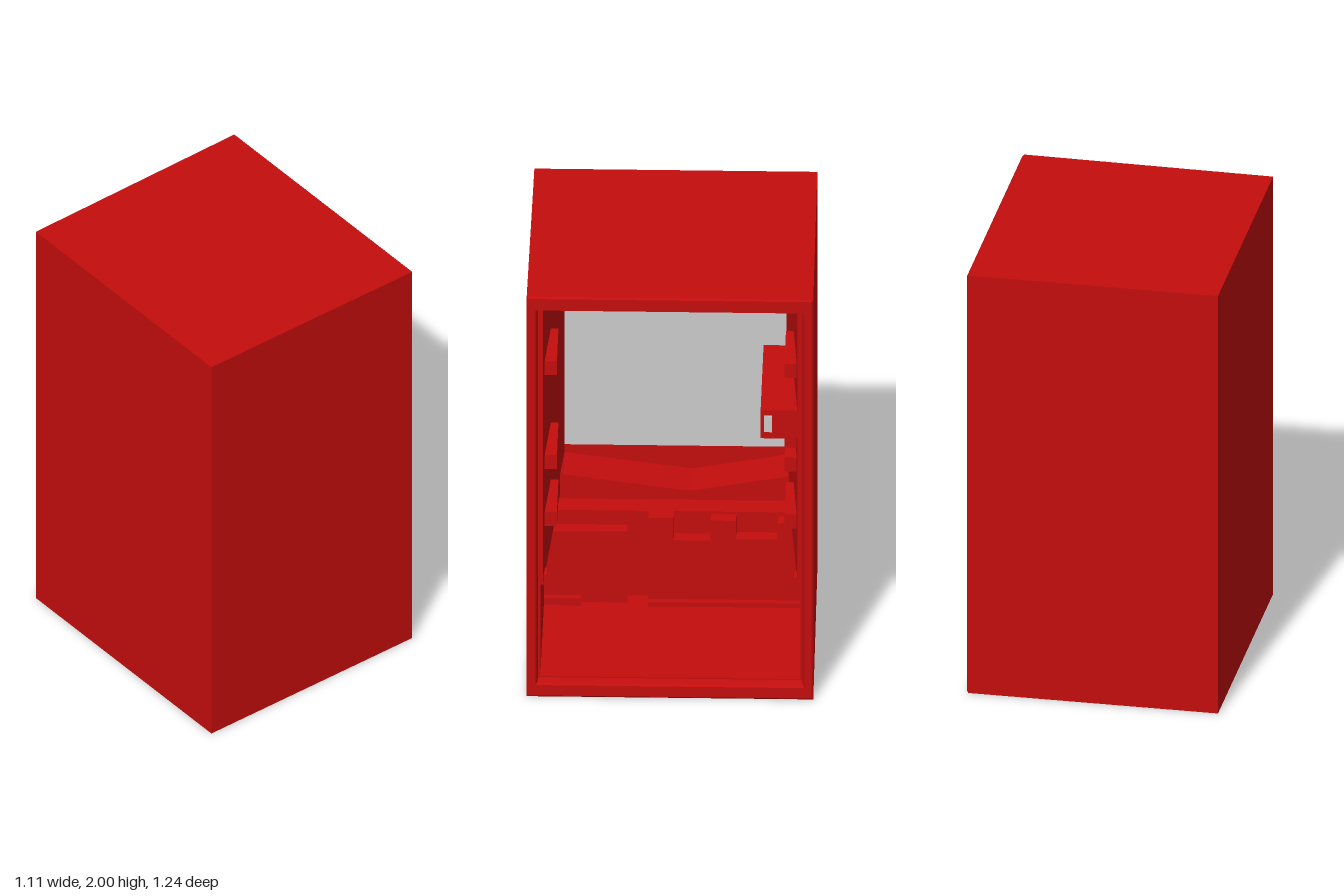
import * as THREE from 'three';

const red = new THREE.MeshStandardMaterial({ color: 0xc40d0d });
const grey = new THREE.MeshStandardMaterial({ color: 0xcccccc });

// Box given by its extents on each axis
function box(name, [x0, x1], [y0, y1], [z0, z1], material = red) {
  const mesh = new THREE.Mesh(new THREE.BoxGeometry(x1 - x0, y1 - y0, z1 - z0), material);
  mesh.position.set((x0 + x1) / 2, (y0 + y1) / 2, (z0 + z1) / 2);
  mesh.name = name;
  return mesh;
}

// Outline in (z, y) extruded along x from x0 to x1
function slab(name, points, x0, x1, material = red) {
  const shape = new THREE.Shape(points.map(([z, y]) => new THREE.Vector2(-z, y)));
  const geometry = new THREE.ExtrudeGeometry(shape, { depth: x1 - x0, bevelEnabled: false });
  geometry.rotateY(Math.PI / 2).translate(x0, 0, 0);
  const mesh = new THREE.Mesh(geometry, material);
  mesh.name = name;
  return mesh;
}

// Hollow cabinet: rectangles [x, half width, bottom, top] joined from the outer wall round into the cavity
function cabinetShell() {
  const rings = [
    [-0.555, 0.612, 0, 2], [0.545, 0.62, 0, 2], [0.552, 0.612, 0.008, 1.992],
    [0.552, 0.582, 0.06, 1.935], [0.54, 0.575, 0.065, 1.93], [0.5, 0.572, 0.07, 1.92],
    [0.5, 0.562, 0.075, 1.91], [-0.5, 0.56, 0.075, 1.905],
  ].map(([x, w, y0, y1]) => [[x, y0, w], [x, y0, -w], [x, y1, -w], [x, y1, w]]);
  const positions = [];
  const quad = (a, b, c, d) => positions.push(...a, ...b, ...c, ...a, ...c, ...d);
  for (let i = 0; i < rings.length - 1; i++) {
    for (let k = 0; k < 4; k++) {
      const n = (k + 1) % 4;
      quad(rings[i][k], rings[i][n], rings[i + 1][n], rings[i + 1][k]);
    }
  }
  quad(...[...rings[0]].reverse());
  quad(...rings[rings.length - 1]);
  const geometry = new THREE.BufferGeometry();
  geometry.setAttribute('position', new THREE.Float32BufferAttribute(positions, 3));
  geometry.computeVertexNormals();
  const mesh = new THREE.Mesh(geometry, red);
  mesh.name = 'cabinetShell';
  return mesh;
}

// Tapering liner that narrows the upper compartment towards its back
function sideLiner(side) {
  const shape = new THREE.Shape([
    new THREE.Vector2(0.48, -side * 0.562),
    new THREE.Vector2(-0.5, -side * 0.562),
    new THREE.Vector2(-0.5, -side * 0.48),
    new THREE.Vector2(0.48, -side * 0.55),
  ]);
  const geometry = new THREE.ExtrudeGeometry(shape, { depth: 1.38, bevelEnabled: false });
  geometry.rotateX(-Math.PI / 2).translate(0, 0.53, 0);
  const mesh = new THREE.Mesh(geometry, red);
  mesh.name = 'sideLiner';
  return mesh;
}

export function createModel() {
  const model = new THREE.Group();
  model.name = 'openCabinet';
  model.add(cabinetShell());

  // Pale back wall of the upper compartment
  model.add(box('backPanel', [-0.5, -0.49], [0.66, 1.905], [-0.482, 0.482], grey));

  // Liners, shelf rails and small catches on both sides
  for (const side of [1, -1]) {
    const zRange = (a, b) => (side > 0 ? [a, b] : [-b, -a]);
    model.add(sideLiner(side));
    for (const y of [1.565, 1.095, 0.81]) {
      model.add(box('shelfRail', [0.13, 0.41], [y - 0.035, y + 0.035], zRange(0.492, 0.56)));
    }
    model.add(box('lowerRail', [-0.15, 0.17], [0.49, 0.515], zRange(0.53, 0.565)));
    model.add(box('catch', [0.4, 0.46], [0.51, 0.56], zRange(0.535, 0.565)));
  }
  model.add(box('shelfRail', [0.13, 0.41], [1.18, 1.24], [-0.56, -0.492]));

  // Control box on one side wall
  model.add(box('controlBox', [-0.1, 0.46], [1.255, 1.395], [-0.565, -0.39]));
  model.add(box('controlBoxButton', [0.46, 0.468], [1.29, 1.37], [-0.44, -0.405], grey));

  // Lower housing with a shallow V-shaped back ledge
  model.add(box('lowerHousing', [-0.5, -0.2], [0.07, 0.5], [-0.562, 0.562]));
  model.add(slab('backLedge', [
    [0.562, 0.49], [-0.562, 0.49], [-0.562, 0.66], [-0.48, 0.62],
    [-0.07, 0.545], [0.48, 0.62], [0.562, 0.66],
  ], -0.5, -0.3));
  model.add(box('lowerBackWall', [-0.5, -0.492], [0.5, 0.67], [-0.482, 0.482]));

  // Front covers of the housing, the wide one notched along its top
  model.add(box('smallCover', [-0.2, -0.14], [0.07, 0.43], [0.2, 0.562]));
  model.add(slab('wideCover', [
    [0.11, 0.07], [-0.562, 0.07], [-0.562, 0.49], [-0.45, 0.48], [-0.45, 0.4],
    [-0.27, 0.4], [-0.27, 0.49], [-0.16, 0.49], [-0.16, 0.39], [0.0, 0.39],
    [0.0, 0.5], [0.11, 0.5],
  ], -0.2, -0.14));
  model.add(box('coverSill', [-0.14, -0.11], [0.07, 0.095], [-0.562, 0.11]));
  model.add(box('coverSill', [-0.14, -0.11], [0.07, 0.11], [0.4, 0.562]));

  return model;
}
